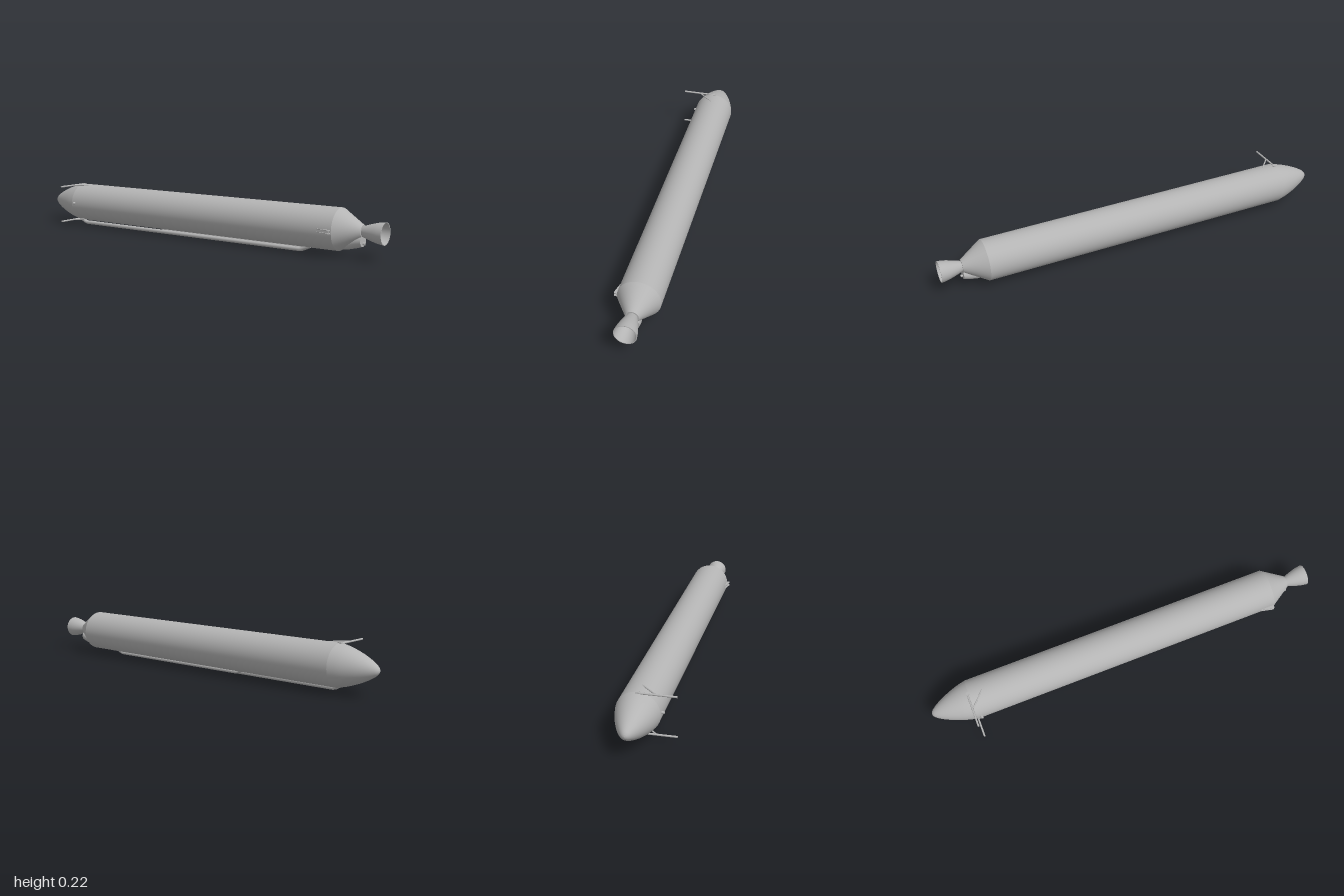
import * as THREE from 'three';

export function createModel() {
  const root = new THREE.Group();
  const gray = new THREE.MeshStandardMaterial({ color: 0xb4b4b4 });
  gray.name = 'gray';
  gray.side = THREE.DoubleSide;

  const AX = 0.035, AY = 0.12, R = 0.099;
  const V = (x, y, z) => new THREE.Vector3(x, y, z);

  function add(name, geo) {
    const mesh = new THREE.Mesh(geo, gray);
    mesh.name = name;
    root.add(mesh);
    return mesh;
  }

  // turned part along the long axis; profile as [radius, z] with z rising
  function turned(name, profile, seg = 64) {
    const geo = new THREE.LatheGeometry(profile.map(p => new THREE.Vector2(p[0], p[1])), seg);
    geo.rotateX(Math.PI / 2);
    geo.translate(AX, AY, 0);
    return add(name, geo);
  }

  // straight round bar between two points
  function bar(name, a, b, r0, r1 = r0, seg = 12) {
    const d = b.clone().sub(a);
    const geo = new THREE.CylinderGeometry(r1, r0, d.length(), seg);
    const mesh = add(name, geo);
    mesh.position.copy(a).add(b).multiplyScalar(0.5);
    mesh.quaternion.setFromUnitVectors(V(0, 1, 0), d.normalize());
    return mesh;
  }

  // tank, nose and tail
  const nose = new THREE.SplineCurve([[0.008, -0.998], [0.021, -0.988], [0.04, -0.96], [0.06, -0.92],
    [0.076, -0.88], [0.089, -0.84], [R, -0.797]].map(p => new THREE.Vector2(...p)));
  turned('noseCone', [[0, -1], ...nose.getPoints(28).map(p => [p.x, p.y])]);
  turned('tankBody', [[R, -0.797], [R, 0.785]]);
  turned('tailCone', [[R, 0.785], [0.03, 0.895]]);
  turned('tailCap', [[0.03, 0.895], [0, 0.895]]);

  // engine bell with inner wall and chamber
  turned('engineBell', [[0.024, 0.893], [0.03, 0.91], [0.038, 0.935], [0.045, 0.96], [0.049, 0.98], [0.0515, 1]]);
  turned('bellRim', [[0.0515, 1], [0.048, 1]]);
  turned('bellInside', [[0.048, 1], [0.045, 0.975], [0.039, 0.948], [0.03, 0.922], [0.02, 0.9]]);
  turned('chamberFloor', [[0.02, 0.9], [0.012, 0.897], [0, 0.896]]);

  // exhaust fairing below the tail cone, lofted between ellipses
  const sections = [[0.895, 0.078, 0.031, 0.027], [0.87, 0.072, 0.032, 0.029],
    [0.83, 0.06, 0.027, 0.027], [0.77, 0.044, 0.014, 0.019]];
  const fairing = new THREE.CylinderGeometry(1, 1, 1, 32, sections.length - 1);
  const pos = fairing.attributes.position;
  for (let i = 0; i < pos.count; i++) {
    const row = Math.round((0.5 - pos.getY(i)) * (sections.length - 1));
    const [z, cy, rx, ry] = sections[row];
    pos.setXYZ(i, AX + pos.getX(i) * rx, cy - pos.getZ(i) * ry, z);
  }
  fairing.computeVertexNormals();
  add('exhaustFairing', fairing);
  bar('exhaustOutlet', V(AX, 0.065, 0.885), V(AX, 0.065, 0.905), 0.006);

  // feed pipes along the belly with sloped ends
  function pipe(name, x, y, r, zFront, zBack) {
    const path = new THREE.CurvePath();
    const pts = [V(x, y + 0.02, zBack + 0.012), V(x, y, zBack - 0.035),
      V(x, y, zFront + 0.03), V(x, y + 0.02, zFront - 0.008)];
    for (let i = 0; i < 3; i++) path.add(new THREE.LineCurve3(pts[i], pts[i + 1]));
    add(name, new THREE.TubeGeometry(path, 120, r, 14));
  }
  pipe('longFeedPipe', 0.012, 0.0105, 0.01, -0.79, 0.63);
  pipe('shortFeedPipe', 0.037, 0.014, 0.0085, -0.25, 0.63);

  // upper and lower attachment struts near the nose
  for (const [label, y, out] of [['upper', 0.217, 1], ['lower', 0.028, -1]]) {
    bar(label + 'Strut', V(-0.137, y, -0.803), V(0.035, y, -0.803), 0.0045);
    bar(label + 'Brace', V(-0.042, y, -0.798), V(0.03, y, -0.73), 0.0035);
    const lug = add(label + 'Lug', new THREE.BoxGeometry(0.014, 0.008, 0.016));
    lug.position.set(0.034, y + out * 0.001, -0.8);
  }

  // small forward stud on the side
  bar('forwardStud', V(-0.058, AY + 0.003, -0.778), V(-0.076, AY + 0.003, -0.778), 0.007, 0.006);

  // aft forked bracket: two tapered plates
  const plate = new THREE.Shape([[-0.06, -0.715], [-0.066, -0.715], [-0.08, -0.775], [-0.078, -0.782], [-0.06, -0.782]]
    .map(p => new THREE.Vector2(...p)));
  for (const y of [0.113, 0.127]) {
    const geo = new THREE.ExtrudeGeometry(plate, { depth: 0.004, bevelEnabled: false });
    geo.rotateX(-Math.PI / 2);
    geo.translate(0, y - 0.002, 0);
    add('aftBracketPlate', geo);
  }
  const web = add('aftBracketWeb', new THREE.BoxGeometry(0.012, 0.012, 0.03));
  web.position.set(-0.064, 0.12, 0.762);

  return root;
}
